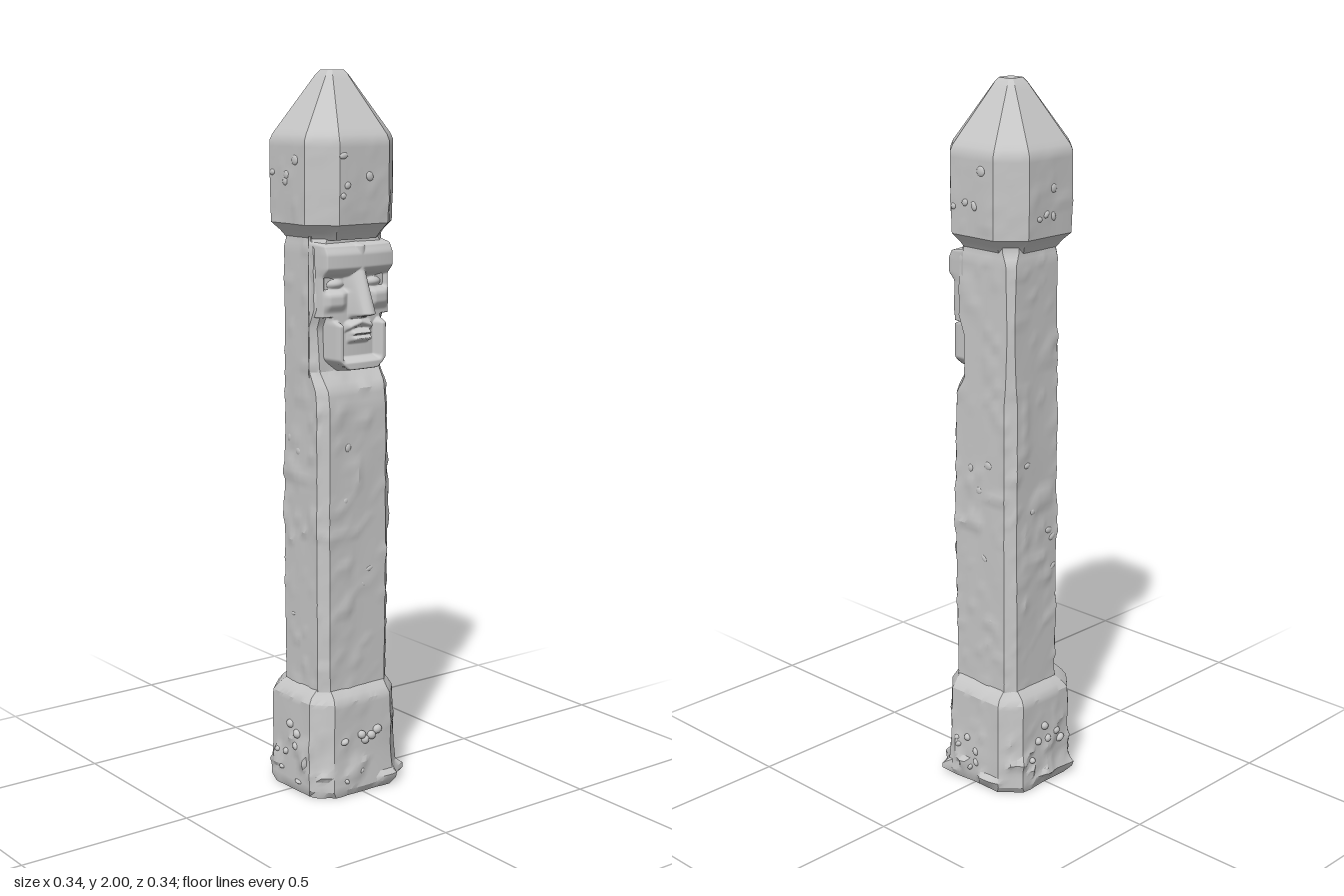
import * as THREE from 'three';
import { toCreasedNormals } from 'three/addons/utils/BufferGeometryUtils.js';

const { lerp, smoothstep } = THREE.MathUtils;
const stone = new THREE.MeshStandardMaterial({ color: 0xc8c8c8 });
stone.name = 'stone grey';

// Seeded value noise, 0..1
const hash = (x, y, z) => {
  const s = Math.sin(x * 127.1 + y * 311.7 + z * 74.7) * 43758.5453;
  return s - Math.floor(s);
};
function noise(x, y, z) {
  const [i, j, k] = [x, y, z].map(Math.floor);
  const [u, v, w] = [x - i, y - j, z - k].map(t => t * t * (3 - 2 * t));
  const edge = (b, c) => lerp(hash(i, b, c), hash(i + 1, b, c), u);
  const face = c => lerp(edge(j, c), edge(j + 1, c), v);
  return lerp(face(k), face(k + 1), w);
}

// Eight-sided ring: side half width, front z, back z, corner cut, back right corner cut
function ring([y, hx, zf, zb, c, cr]) {
  const corners = [
    [hx, zb + c], [hx, zf - c], [hx - c, zf], [-hx + c, zf],
    [-hx, zf - c], [-hx, zb + cr], [-hx + cr, zb], [hx - c, zb],
  ];
  const points = [];
  corners.forEach(([x, z], i) => {
    const [nx, nz] = corners[(i + 1) % 8];
    const steps = i % 2 ? 4 : 14;
    for (let s = 0; s < steps; s++) points.push([lerp(x, nx, s / steps), y, lerp(z, nz, s / steps)]);
  });
  return points;
}

// Loft through the sections; each section ends with its surface roughness
function weatheredLoft(sections, step = 0.015) {
  const rows = [];
  sections.forEach((a, i) => {
    const b = sections[i + 1];
    const n = b ? Math.max(1, Math.round((b[0] - a[0]) / step)) : 1;
    for (let s = 0; s < n; s++) rows.push(b ? a.map((v, k) => lerp(v, b[k], s / n)) : a);
  });
  const pos = [], index = [];
  rows.forEach(row => ring(row).forEach(([x, y, z]) => {
    const r = Math.hypot(x, z) || 1;
    const lump = Math.max(0, noise(x * 32 + 9, y * 32, z * 32 + 5) - 0.6) * 2.2;
    const wave = noise(x * 14 + 3, y * 9, z * 14 + 7) - 0.5;
    const d = row[6] * (lump + wave * 0.5);
    pos.push(x + x / r * d, y, z + z / r * d);
  }));
  const cols = pos.length / 3 / rows.length;
  for (let j = 0; j < rows.length - 1; j++) for (let i = 0; i < cols; i++) {
    const a = j * cols + i, b = j * cols + (i + 1) % cols;
    index.push(a, a + cols, b, b, a + cols, b + cols);
  }
  // Flat end caps
  const last = (rows.length - 1) * cols, low = pos.length / 3;
  pos.push(0, rows[0][0], 0, 0, rows[rows.length - 1][0], 0);
  for (let i = 0; i < cols; i++) {
    const n = (i + 1) % cols;
    index.push(low, i, n, low + 1, last + n, last + i);
  }
  const g = new THREE.BufferGeometry();
  g.setAttribute('position', new THREE.Float32BufferAttribute(pos, 3));
  g.setIndex(index);
  return toCreasedNormals(g, 0.5);
}

// Soft-edged rectangle mask, 1 inside
const box = (x, y, cx, cy, w, h, soft = 0.008) =>
  (1 - smoothstep(Math.abs(x - cx), w - soft, w + soft)) * (1 - smoothstep(Math.abs(y - cy), h - soft, h + soft));

// Depth of the carved face at a point; mirrored about x = 0
function faceDepth(px, y) {
  const x = Math.abs(px);
  // Brow plane and sunken cheeks
  let z = lerp(0.112, 0.133, smoothstep(y, 1.455, 1.485)) - 0.1 * x * x / 0.12;
  z -= 0.012 * smoothstep(y, 1.515, 1.545);
  // Eyes in their sockets
  z -= 0.016 * box(x, y, 0.066, 1.44, 0.036, 0.02);
  z += 0.012 * Math.max(0, 1 - ((x - 0.066) / 0.03) ** 2 - ((y - 1.437) / 0.014) ** 2);
  z += 0.012 * box(x, y, 0.075, 1.395, 0.03, 0.022, 0.014);
  // Jaw frame, moustache and lips
  const jaw = box(x, y, 0, 1.26, 0.085, 0.075) - box(x, y, 0, 1.29, 0.06, 0.055);
  z += 0.028 * Math.max(0, jaw);
  z += 0.02 * box(x, y, 0, 1.335 - x * 0.3, 0.042, 0.009);
  z += 0.03 * box(x, y, 0, 1.298, 0.032, 0.015) - 0.022 * box(x, y, 0, 1.3, 0.028, 0.002, 0.005);
  // Wedge nose
  const t = THREE.MathUtils.clamp((1.475 - y) / 0.115, 0, 1);
  const nose = lerp(0.133, 0.175, t) - 0.018 * (x / 0.02) ** 2 * (1 - t * 0.4);
  if (y > 1.335) z = Math.max(z, lerp(z, nose, smoothstep(y, 1.342, 1.36) * (1 - smoothstep(x, 0.02, 0.036))));
  // Outline: broad temples, narrow jaw, rounded chin
  const half = y > 1.35 ? 0.118 : 0.087 - 0.04 * (1 - smoothstep(y, 1.195, 1.24));
  const inside = (1 - smoothstep(x, half - 0.008, half + 0.004)) *
    smoothstep(y, 1.195, 1.21) * (1 - smoothstep(y, 1.54, 1.555));
  return lerp(0.055, z, inside);
}

export function createModel() {
  const model = new THREE.Group();
  model.name = 'carvedStonePillar';
  const add = (name, geometry, parent = model) => {
    const mesh = new THREE.Mesh(geometry, stone);
    mesh.name = name;
    parent.add(mesh);
    return mesh;
  };

  // Rough, broken foot
  add('base', weatheredLoft([
    [0, 0.145, 0.135, -0.145, 0.055, 0.065, 0.016],
    [0.02, 0.153, 0.143, -0.152, 0.05, 0.06, 0.026],
    [0.12, 0.149, 0.139, -0.149, 0.05, 0.06, 0.016],
    [0.2, 0.148, 0.138, -0.148, 0.05, 0.06, 0.006],
    [0.272, 0.147, 0.137, -0.147, 0.05, 0.06, 0.003],
    [0.288, 0.138, 0.128, -0.138, 0.045, 0.06, 0.003],
    [0.312, 0.118, 0.11, -0.118, 0.025, 0.06, 0.002],
  ]));

  // Long shaft, cut back behind the face
  add('shaft', weatheredLoft([
    [0.27, 0.12, 0.114, -0.12, 0.025, 0.06, 0.005],
    [0.75, 0.122, 0.114, -0.12, 0.025, 0.06, 0.008],
    [1.1, 0.12, 0.113, -0.12, 0.025, 0.06, 0.007],
    [1.15, 0.12, 0.106, -0.12, 0.025, 0.06, 0.006],
    [1.2, 0.12, 0.075, -0.12, 0.02, 0.06, 0.006],
    [1.32, 0.12, 0.07, -0.12, 0.015, 0.06, 0.006],
    [1.37, 0.12, 0.09, -0.12, 0.015, 0.06, 0.005],
    [1.53, 0.119, 0.092, -0.12, 0.02, 0.06, 0.005],
    [1.56, 0.115, 0.088, -0.115, 0.03, 0.06, 0.002],
    [1.6, 0.115, 0.1, -0.115, 0.03, 0.06, 0],
  ]));

  // Pointed cap
  add('cap', weatheredLoft([
    [1.555, 0.112, 0.104, -0.114, 0.045, 0.055, 0.001],
    [1.575, 0.125, 0.115, -0.125, 0.05, 0.055, 0.002],
    [1.597, 0.147, 0.137, -0.147, 0.065, 0.065, 0.004],
    [1.68, 0.149, 0.14, -0.15, 0.066, 0.066, 0.004],
    [1.815, 0.149, 0.14, -0.15, 0.066, 0.066, 0.001],
    [1.832, 0.142, 0.133, -0.143, 0.062, 0.062, 0],
    [1.988, 0.037, 0.032, -0.04, 0.012, 0.012, 0],
    [2, 0.026, 0.021, -0.029, 0.008, 0.008, 0],
  ]));

  // Relief face
  const face = new THREE.PlaneGeometry(0.246, 0.38, 90, 140).translate(0, 1.375, 0);
  const p = face.attributes.position;
  for (let i = 0; i < p.count; i++) p.setZ(i, faceDepth(p.getX(i), p.getY(i)));
  face.computeVertexNormals();
  add('face', face);

  // Small stone chips scattered on each side of the cap, shaft and base
  const chips = new THREE.Group();
  chips.name = 'surfaceChips';
  model.add(chips);
  const pebble = new THREE.IcosahedronGeometry(1, 2);
  const bands = [[0.03, 0.2, 0.15, 7], [0.5, 1.1, 0.12, 5], [1.62, 1.78, 0.15, 4]];
  bands.forEach(([y0, y1, r, count], b) => {
    for (let side = 0; side < 4; side++) for (let i = 0; i < count; i++) {
      const u = hash(i, side, b + 1), v = hash(side, b, i + 4);
      const holder = new THREE.Group();
      const chip = add('chip', pebble, holder);
      const span = (u - 0.5) * r;
      const out = side === 0 ? r - 0.009 : r - 0.001;
      chip.position.set(span, lerp(y0, y1, v), out);
      chip.scale.set(0.006 + 0.008 * v, 0.008 + 0.008 * u, b === 0 ? 0.011 : 0.005);
      chip.rotation.z = u * 6;
      holder.rotation.y = side * Math.PI / 2;
      holder.name = 'chipHolder';
      chips.add(holder);
    }
  });
  return model;
}
